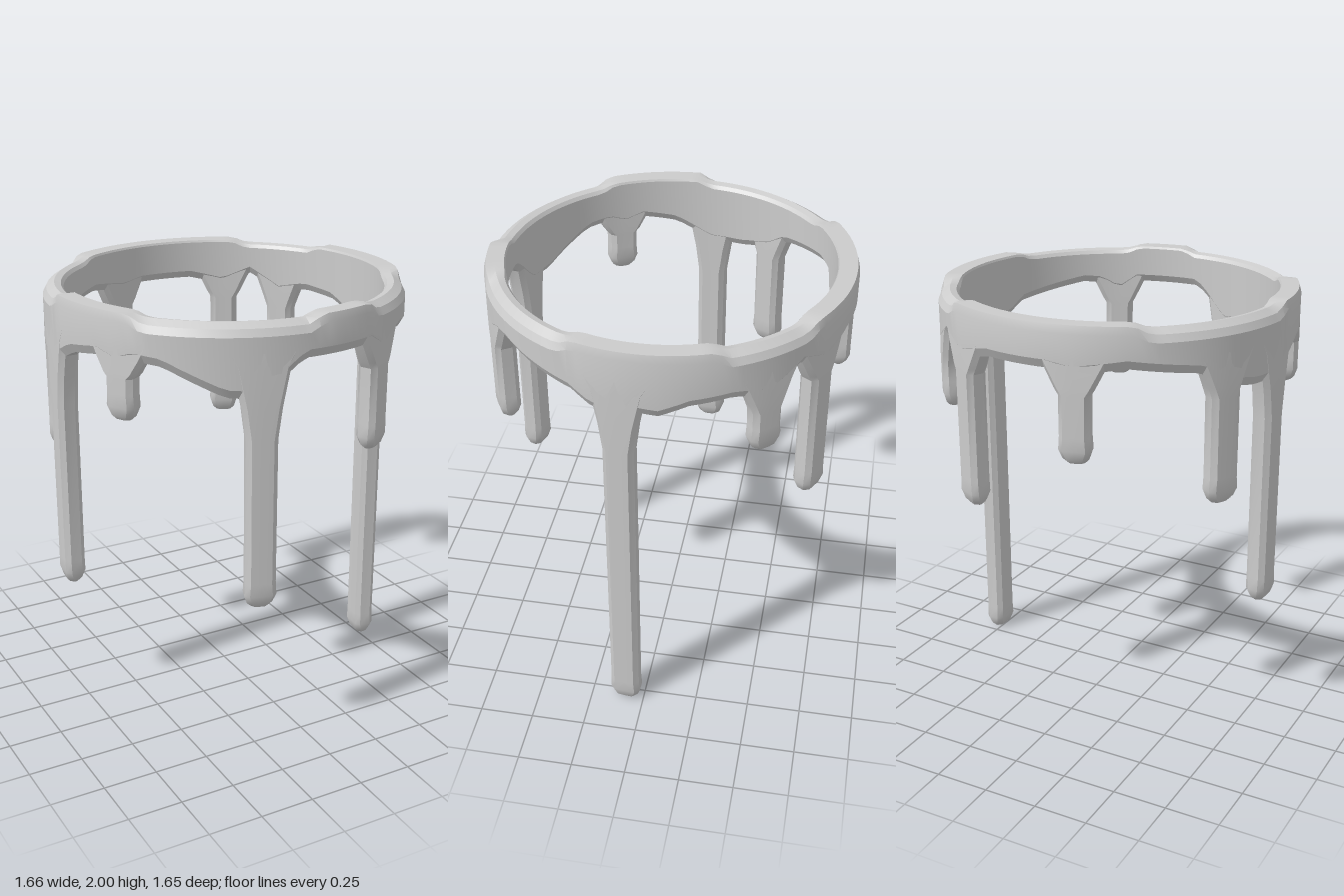
import * as THREE from 'three';
import { toCreasedNormals } from 'three/addons/utils/BufferGeometryUtils.js';

const OUTER = 0.825, INNER = 0.73;
const rad = THREE.MathUtils.degToRad;

// Drips: [angle from +x toward +z, tip height, height where the flare starts]
const DRIPS = [
  [6.2, 0, 1.5], [62, 1.32, 1.7], [107.2, 0.7, 1.48], [151.5, 1.53, 1.72], [185.5, 0.6, 1.5],
  [208.7, 1.18, 1.66], [255.6, 1.4, 1.7], [298.4, 1.08, 1.7], [320.7, 1.46, 1.66],
];

// Lower edge of the band: [angle, height]
const EDGE = [
  [0, 1.71], [6, 1.68], [14, 1.7], [21, 1.76], [48, 1.82], [55, 1.81], [62, 1.76], [69, 1.82],
  [94, 1.82], [98, 1.78], [107, 1.66], [118, 1.67], [137, 1.79], [146, 1.8], [152, 1.77],
  [159, 1.8], [172, 1.77], [185, 1.68], [197, 1.68], [209, 1.71], [217, 1.78], [240, 1.82],
  [256, 1.79], [264, 1.81], [285, 1.81], [298, 1.77], [309, 1.83], [321, 1.74], [332, 1.77],
  [345, 1.75], [354, 1.7], [360, 1.71],
];

// Raised flat stretches of the rim: [from, to]
const RAISED = [[-22, 20], [70, 88], [148, 180], [238, 302]];

function edgeHeight(deg) {
  const k = EDGE.findIndex((p, i) => i > 0 && deg <= p[0]);
  const [a, ya] = EDGE[k - 1], [b, yb] = EDGE[k];
  return THREE.MathUtils.lerp(ya, yb, (deg - a) / (b - a));
}

// 1 on a raised stretch, fading to 0 within a few degrees
function raised(deg) {
  let best = 0;
  for (const [a, b] of RAISED) {
    for (const d of [deg, deg - 360]) {
      const gap = Math.max(a - d, d - b, 0);
      best = Math.max(best, 1 - Math.min(gap / 5, 1));
    }
  }
  return best;
}

// Skin equal-length rings of points, each ring closed on itself
function loft(rows, closed, crease) {
  const n = rows[0].length, index = [];
  const last = closed ? rows.length : rows.length - 1;
  for (let i = 0; i < last; i++) {
    const p = i * n, q = ((i + 1) % rows.length) * n;
    for (let j = 0; j < n; j++) {
      const k = (j + 1) % n;
      index.push(p + j, q + j, p + k, q + j, q + k, p + k);
    }
  }
  const geo = new THREE.BufferGeometry();
  geo.setAttribute('position', new THREE.Float32BufferAttribute(rows.flat(2), 3));
  geo.setIndex(index);
  return toCreasedNormals(geo, rad(crease));
}

const polar = (r, y, angle) => [r * Math.cos(angle), y, r * Math.sin(angle)];

// Ring band: one chamfered cross-section per angle
function bandGeometry() {
  const rows = [];
  for (let deg = 0; deg < 360; deg += 3) {
    const b = edgeHeight(deg), t = raised(deg), mix = THREE.MathUtils.lerp;
    const section = [
      [mix(0.808, 0.815, t), mix(1.962, 2, t)],
      [OUTER, mix(1.93, 1.965, t)],
      [OUTER, b + 0.04],
      [0.803, b],
      [0.752, b],
      [INNER, b + 0.035],
      [INNER, mix(1.962, 1.99, t)],
      [mix(0.742, 0.735, t), mix(1.978, 2, t)],
      [mix(0.772, 0.775, t), mix(1.985, 2, t)],
    ];
    rows.push(section.map(([r, y]) => polar(r, y, rad(deg))));
  }
  return loft(rows, true, 25);
}

// Drip: flared root, straight neck, blunt rounded tip
function dripGeometry(deg, tip, flare) {
  const mid = (OUTER + INNER) / 2;
  // [height, half width, radial inset]
  const profile = [
    [1.86, 0.15, 0.003], [1.8, 0.12, 0.002], [(1.76 + flare) / 2, 0.085, 0],
    [flare, 0.067, 0], [tip + 0.12, 0.066, 0], [tip + 0.06, 0.07, 0],
    [tip + 0.018, 0.056, 0.012], [tip, 0.038, 0.026], [tip, 0, 0.049],
  ];
  const rows = profile.map(([y, w, inset]) => {
    const out = OUTER + 0.003 - inset, inn = INNER + 0.002 + inset;
    const c = w === 0 ? 0 : Math.min(0.022, w * 0.45, (out - inn) * 0.4);
    const section = [
      [w - c, out], [0, out], [c - w, out], [-w, out - c], [-w, inn + c],
      [c - w, inn], [0, inn], [w - c, inn], [w, inn + c], [w, out - c],
    ];
    return section.map(([s, r]) => polar(w === 0 ? mid : r, y, rad(deg) + s / mid));
  });
  return loft(rows, false, 28);
}

export function createModel() {
  const group = new THREE.Group();
  group.name = 'drippingRing';
  const material = new THREE.MeshStandardMaterial({ color: 0xcccccc });

  const band = new THREE.Mesh(bandGeometry(), material);
  band.name = 'ringBand';
  group.add(band);

  DRIPS.forEach((spec, i) => {
    const drip = new THREE.Mesh(dripGeometry(...spec), material);
    drip.name = `drip${i + 1}`;
    group.add(drip);
  });
  return group;
}
